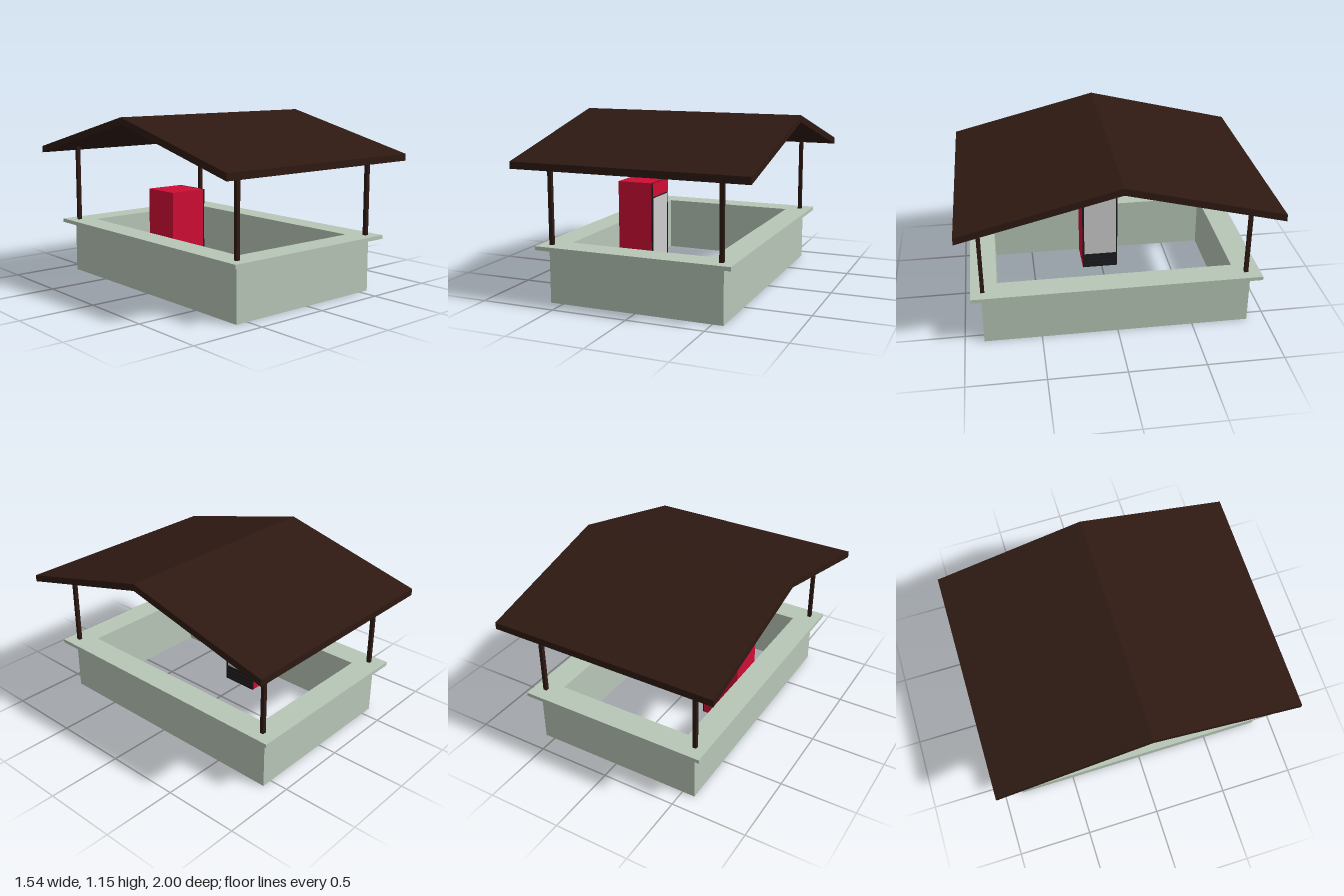
import * as THREE from 'three';

const mat = (color, side = THREE.FrontSide) =>
  new THREE.MeshStandardMaterial({ color, side, flatShading: true });

const stone = mat(0xb7c6b7);
const wood = mat(0x2e1912);
const red = mat(0xcf0d34);
const black = mat(0x1c1c1e);
const glass = mat(0xcccccc);

function add(parent, name, geometry, material) {
  const mesh = new THREE.Mesh(geometry, material);
  mesh.name = name;
  parent.add(mesh);
  return mesh;
}

// Box given by its minimum and maximum on each axis
function box(parent, name, material, [x0, x1], [y0, y1], [z0, z1]) {
  const mesh = add(parent, name, new THREE.BoxGeometry(x1 - x0, y1 - y0, z1 - z0), material);
  mesh.position.set((x0 + x1) / 2, (y0 + y1) / 2, (z0 + z1) / 2);
  return mesh;
}

const rectangle = (path, w, d) => path
  .moveTo(-w / 2, -d / 2).lineTo(w / 2, -d / 2)
  .lineTo(w / 2, d / 2).lineTo(-w / 2, d / 2).closePath();

// Rectangular ring lying flat, with its base at y = 0
function ring(w, d, innerW, innerD, height) {
  const shape = new THREE.Shape();
  const hole = new THREE.Path();
  rectangle(shape, w, d);
  rectangle(hole, innerW, innerD);
  shape.holes.push(hole);
  return new THREE.ExtrudeGeometry(shape, { depth: height, bevelEnabled: false }).rotateX(-Math.PI / 2);
}

function createRoof() {
  const profile = new THREE.Shape([
    [-1, 0.86], [0, 1.11], [1, 0.86], [1, 0.905], [0, 1.155], [-1, 0.905],
  ].map(([z, y]) => new THREE.Vector2(z, y)));
  return new THREE.ExtrudeGeometry(profile, { depth: 1.54, bevelEnabled: false })
    .translate(0, 0, -0.77).rotateY(-Math.PI / 2);
}

// Cabinet against the right wall, its door facing +x
function createCabinet() {
  const cabinet = new THREE.Group();
  cabinet.name = 'vendingCabinet';
  const z = [-0.115, 0.14];
  box(cabinet, 'cabinetBody', red, [-0.475, -0.226], [0, 0.67], z);
  box(cabinet, 'doorBacking', black, [-0.226, -0.222], [0, 0.575], z);

  // Door frame around the window
  box(cabinet, 'frameTop', black, [-0.222, -0.217], [0.565, 0.575], z);
  for (const side of [[-0.115, -0.106], [0.128, 0.14]]) {
    box(cabinet, 'frameSide', black, [-0.222, -0.217], [0, 0.565], side);
  }
  box(cabinet, 'window', glass, [-0.222, -0.22], [0.11, 0.565], [-0.106, 0.128]);

  // Slatted base below the window
  for (let i = 0; i < 4; i++) {
    box(cabinet, 'baseSlat', black, [-0.222, -0.217], [i * 0.028, i * 0.028 + 0.023], [-0.106, 0.128]);
  }

  // Header box with its red face
  box(cabinet, 'headerBox', black, [-0.226, -0.215], [0.575, 0.67], z);
  box(cabinet, 'headerFace', red, [-0.215, -0.213], [0.575, 0.67], z);
  return cabinet;
}

export function createModel() {
  const model = new THREE.Group();
  model.name = 'shelter';

  // Low wall and its overhanging coping
  const wall = new THREE.Group();
  wall.name = 'lowWall';
  wall.position.x = -0.0075;
  add(wall, 'wallRing', ring(1.155, 1.75, 0.945, 1.54, 0.35), stone);
  add(wall, 'coping', ring(1.285, 1.88, 0.945, 1.54, 0.025), stone).position.y = 0.35;
  model.add(wall);

  // Corner posts
  for (const x of [-0.572, 0.554]) {
    for (const z of [-0.846, 0.863]) {
      box(model, 'post', wood, [x - 0.0125, x + 0.0125], [0.375, 0.905], [z - 0.0125, z + 0.0125]);
    }
  }

  add(model, 'gableRoof', createRoof(), wood);
  model.add(createCabinet());
  return model;
}
